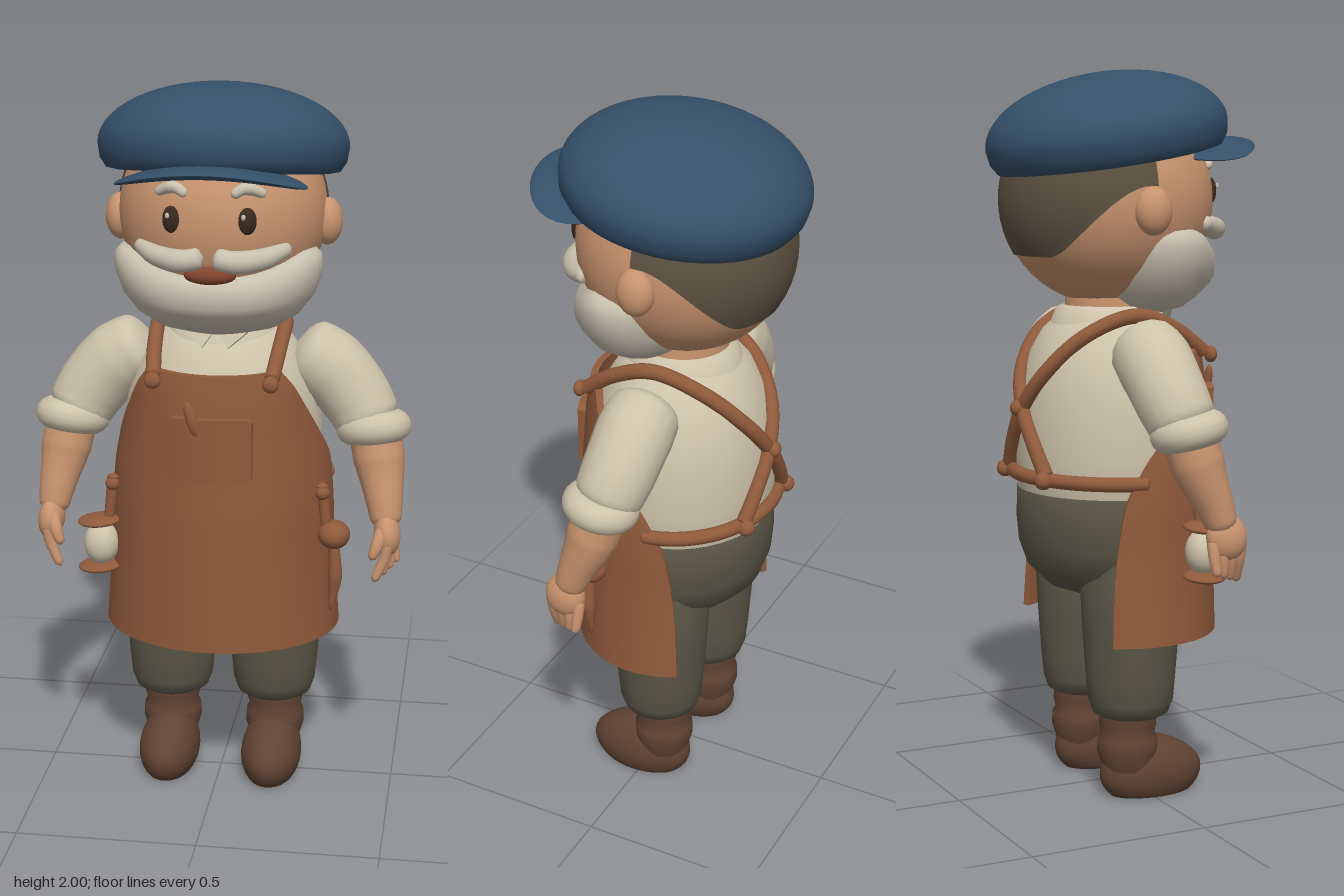
import * as THREE from 'three';
import { toCreasedNormals } from 'three/addons/utils/BufferGeometryUtils.js';
import { ParametricGeometry } from 'three/addons/geometries/ParametricGeometry.js';

const V = (x, y, z) => new THREE.Vector3(x, y, z);
const mat = (name, color, side = THREE.FrontSide) => {
  const m = new THREE.MeshStandardMaterial({ color, side });
  m.name = name;
  return m;
};

// Smooth normals that keep hard edges (scaled up so small parts are not merged)
const smooth = (g, crease = 0.9) => {
  g.scale(100, 100, 100);
  return toCreasedNormals(g, crease).scale(0.01, 0.01, 0.01);
};

// Move every vertex by a rule
function warp(g, rule) {
  const p = g.attributes.position, v = V(0, 0, 0);
  for (let i = 0; i < p.count; i++) {
    v.fromBufferAttribute(p, i);
    rule(v);
    p.setXYZ(i, v.x, v.y, v.z);
  }
  return g;
}

const ball = (rx, ry, rz, w = 28, h = 18) => new THREE.SphereGeometry(1, w, h).scale(rx, ry, rz);
const lathe = (pts, sx = 1, sz = 1) =>
  new THREE.LatheGeometry(pts.map(([r, y]) => new THREE.Vector2(r, y)), 48).scale(sx, 1, sz);

// Tube through points with varying radius; "cap" is the share of length used to round each end
function limb(points, radii, cap = 0.1, seg = 30, sides = 16) {
  const curve = new THREE.CatmullRomCurve3(points.map((p) => V(...p)));
  const g = new THREE.TubeGeometry(curve, seg, 1, sides), pos = g.attributes.position, v = V(0, 0, 0);
  for (let i = 0; i <= seg; i++) {
    const t = i / seg, c = curve.getPointAt(t), k = t * (radii.length - 1);
    const a = Math.min(Math.floor(k), radii.length - 2);
    const e = Math.min(1, Math.min(t, 1 - t) / cap);
    const r = THREE.MathUtils.lerp(radii[a], radii[a + 1], k - a) * Math.sqrt(Math.max(1e-4, 1 - (1 - e) ** 2));
    for (let j = 0; j <= sides; j++) {
      const n = i * (sides + 1) + j;
      v.fromBufferAttribute(pos, n).sub(c).multiplyScalar(r).add(c);
      pos.setXYZ(n, v.x, v.y, v.z);
    }
  }
  return g;
}

// Curved apron sheet with thickness: rows of [y, half width, depth, wrap angle in degrees]
function apronGeometry() {
  const rows = [[0.46, 0.335, 0.29, 117], [0.65, 0.322, 0.288, 115], [0.84, 0.314, 0.285, 109], [0.94, 0.305, 0.28, 97],
    [1.05, 0.285, 0.276, 77], [1.13, 0.272, 0.272, 65], [1.2, 0.262, 0.264, 55], [1.245, 0.25, 0.256, 47]];
  const shape = new THREE.CatmullRomCurve3(rows.map((r) => V(r[1], r[2], r[3])));
  const height = new THREE.CatmullRomCurve3(rows.map((r) => V(0, r[0], 0)));
  const n = 40, m = 36, pos = [], idx = [], ring = 2 * (n + 1);
  for (let j = 0; j <= m; j++) {
    const s = shape.getPoint(j / m), y = height.getPoint(j / m).y;
    for (let i = 0; i < ring; i++) {
      const inner = i > n, k = inner ? 2 * n + 1 - i : i, off = inner ? 0.02 : 0;
      const a = THREE.MathUtils.degToRad(s.z) * (2 * k / n - 1);
      pos.push((s.x - off) * Math.sin(a), y, -0.04 + (s.y - off) * Math.cos(a));
    }
  }
  const quad = (a, b, c, d) => idx.push(a, b, c, a, c, d);
  for (let j = 0; j < m; j++) for (let i = 0; i < ring; i++) {
    const i2 = (i + 1) % ring;
    quad(j * ring + i, j * ring + i2, (j + 1) * ring + i2, (j + 1) * ring + i);
  }
  for (let i = 0; i < n; i++) {
    const t = m * ring, q = ring - 1 - i;
    quad(i, q, q - 1, i + 1);
    quad(t + i, t + i + 1, t + q - 1, t + q);
  }
  const g = new THREE.BufferGeometry();
  g.setAttribute('position', new THREE.Float32BufferAttribute(pos, 3));
  g.setIndex(idx);
  return g;
}

export function createModel() {
  const model = new THREE.Group();
  model.name = 'craftsman';
  const blue = mat('hatBlue', 0x35506a), skin = mat('skin', 0xc9946f), hair = mat('hair', 0x5c5140, THREE.DoubleSide);
  const beard = mat('beardGrey', 0xc8c0ae), shirt = mat('shirtCream', 0xcec3ab, THREE.DoubleSide), leather = mat('leather', 0x905a3b);
  const cloth = mat('trouserOlive', 0x5a5646), boot = mat('bootBrown', 0x5f4333), dark = mat('eyeDark', 0x3b2a20), lip = mat('mouth', 0x84452f);
  const add = (name, g, m, x = 0, y = 0, z = 0, rx = 0, ry = 0, rz = 0) => {
    const mesh = new THREE.Mesh(smooth(g), m);
    mesh.name = name;
    mesh.position.set(x, y, z);
    mesh.rotation.set(rx, ry, rz);
    model.add(mesh);
    return mesh;
  };
  const sm = THREE.MathUtils.smoothstep;

  // Flat cap with visor
  const crown = [[0, -0.06], [0.84, -0.072], [0.93, -0.066], [0.98, -0.04]];
  for (let i = 0; i <= 14; i++) {
    const a = (i / 14) * Math.PI / 2;
    crown.push([Math.cos(a), 0.17 * Math.sin(a)]);
  }
  add('capCrown', lathe(crown, 0.342, 0.333), blue, 0, 1.826, -0.045, -0.16);
  add('capVisor', warp(ball(0.255, 0.02, 0.17, 40), (v) => { v.y += 0.1 * v.z - 0.6 * v.x * v.x; }), blue, 0, 1.797, 0.2);

  // Head, hair and ears
  const hc = [0, 1.65, -0.045], hr = [0.284, 0.29, 0.295];
  add('head', ball(...hr, 40, 28), skin, ...hc);
  add('hair', new ParametricGeometry((u, v, out) => {
    const a = (u - 0.5) * 3.24, t = Math.abs(a) / 1.62, k = 1.017;
    const low = 1.5 + 0.19 * sm(t, 0.3, 0.95);
    const c = THREE.MathUtils.lerp(low, 1.86, v) - hc[1], r = Math.sqrt(1 - (c / (hr[1] * k)) ** 2) * k;
    out.set(hr[0] * r * Math.sin(a), hc[1] + c, hc[2] - hr[2] * r * Math.cos(a));
  }, 48, 12), hair);
  add('neck', new THREE.CylinderGeometry(0.115, 0.125, 0.16, 32), skin, 0, 1.36, -0.04);

  // Beard, dropping at the front to leave the mouth free
  add('beard', warp(lathe([[0, -0.193], [0.3, -0.188], [0.58, -0.168], [0.78, -0.132], [0.92, -0.08], [0.985, -0.03], [1, 0.005],
    [0.985, 0.03], [0.93, 0.045], [0.82, 0.05], [0, 0.05]], 0.284, 0.196), (v) => {
    const f = sm(v.z, 0.03, 0.19);
    v.x *= 1 - 0.1 * f;
    v.y -= 0.065 * f * sm(v.y, -0.16, 0);
  }), beard, 0, 1.525, 0.055);
  add('mouth', ball(0.07, 0.03, 0.035), lip, 0, 1.525, 0.215);

  for (const s of [-1, 1]) {
    add('ear', ball(0.042, 0.065, 0.052), skin, s * 0.285, 1.625, -0.045);
    add('eye', ball(0.025, 0.036, 0.016), dark, s * 0.1, 1.672, 0.226, 0, s * 0.35);
    add('eyeGlint', ball(0.006, 0.008, 0.004, 10, 8), beard, s * 0.1 - 0.008, 1.685, 0.243);
    add('eyebrow', limb([[s * 0.058, 1.737, 0.228], [s * 0.095, 1.756, 0.216], [s * 0.145, 1.737, 0.193]], [0.012, 0.017, 0.012], 0.12), beard);
    add('moustache', limb([[s * 0.012, 1.578, 0.25], [s * 0.07, 1.568, 0.252], [s * 0.14, 1.572, 0.215], [s * 0.203, 1.59, 0.145]],
      [0.029, 0.031, 0.027, 0.019], 0.08), beard);
  }

  // Shirt and collar
  add('shirt', lathe([[0, 0.8], [0.235, 0.8], [0.25, 0.85], [0.256, 0.95], [0.253, 1.06], [0.24, 1.15], [0.216, 1.23],
    [0.178, 1.295], [0.14, 1.33], [0, 1.34]], 1.1, 1), shirt, 0, 0, -0.04);
  add('collar', lathe([[0.165, 1.3], [0.145, 1.352], [0.128, 1.362], [0.12, 1.33]]), shirt, 0, 0, -0.04);
  const flap = new THREE.Shape([[0.003, 0.02], [0.095, 0.025], [0.035, -0.03]].map((p) => new THREE.Vector2(...p)));
  for (const s of [0, Math.PI]) {
    const g = new THREE.ExtrudeGeometry(flap, { depth: 0.014, bevelEnabled: false }).translate(0, 0, -0.007).rotateY(s);
    add('collarFlap', g, shirt, 0, 1.328, 0.115, -0.4);
  }

  // Trousers
  add('trouserSeat', lathe([[0, 0.55], [0.1, 0.555], [0.17, 0.58], [0.225, 0.635], [0.248, 0.7], [0.254, 0.77], [0.252, 0.85], [0.24, 0.87], [0, 0.87]], 1.1, 1),
    cloth, 0, 0, -0.04);
  for (const s of [-1, 1]) {
    add('trouserLeg', lathe([[0, 0.23], [0.085, 0.23], [0.106, 0.242], [0.118, 0.275], [0.124, 0.34], [0.134, 0.48], [0.14, 0.6], [0.12, 0.72], [0, 0.75]]),
      cloth, s * 0.15, 0, -0.045);
    // Boots
    add('bootShaft', lathe([[0, 0.08], [0.07, 0.08], [0.085, 0.13], [0.083, 0.165], [0.074, 0.178], [0.08, 0.205], [0.076, 0.245], [0, 0.25]]),
      boot, s * 0.152, 0, -0.055);
    add('bootFoot', warp(new THREE.SphereGeometry(1, 32, 24), (v) => {
      v.y = Math.max(v.y, -0.62);
      v.set(v.x * 0.087, v.y > 0 ? v.y * (0.105 - 0.025 * v.z) : v.y * 0.1, v.z * 0.153);
    }), boot, s * 0.15, 0.062, 0.018);
  }

  // Apron with pocket
  add('apron', apronGeometry(), leather);
  add('apronPocket', warp(new THREE.BoxGeometry(0.23, 0.18, 0.03, 20, 4, 1), (v) => {
    const e = Math.max(0, Math.abs(v.x) - 0.09) / 0.025;
    v.y *= 1 - 0.12 * e * e;
    v.z -= 1.75 * v.x * v.x;
  }), leather, 0, 1.045, 0.241);
  add('pocketTool', ball(0.016, 0.05, 0.012), leather, -0.045, 1.135, 0.25, 0, 0, 0.3);

  // Straps crossing at the back, waist tie and buttons
  for (const s of [-1, 1]) {
    add('shoulderStrap', limb([[s * 0.16, 1.225, 0.185], [s * 0.172, 1.3, 0.08], [s * 0.175, 1.34, -0.04], [s * 0.145, 1.29, -0.175],
      [s * 0.08, 1.19, -0.265], [0, 1.085, -0.3], [-s * 0.07, 0.99, -0.298], [-s * 0.13, 0.9, -0.285]], [0.021, 0.021], 0.01, 60, 12), leather);
    add('strapButton', ball(0.023, 0.023, 0.016), leather, s * 0.16, 1.225, 0.197);
    add('tieButton', ball(0.024, 0.024, 0.024), leather, s * 0.13, 0.9, -0.298);
  }
  add('crossButton', ball(0.022, 0.022, 0.018), leather, 0, 1.085, -0.318);
  const tie = [];
  for (let i = 0; i <= 16; i++) {
    const a = Math.PI * (0.52 + 0.96 * i / 16);
    tie.push([0.298 * Math.sin(a), 0.9, -0.04 + 0.262 * Math.cos(a)]);
  }
  add('waistTie', limb(tie, [0.02, 0.02], 0.01, 60, 12), leather);

  // Arms and hands
  for (const s of [-1, 1]) {
    add('sleeve', limb([[s * 0.2, 1.275, -0.045], [s * 0.3, 1.215, -0.045], [s * 0.375, 1.13, -0.035], [s * 0.425, 1.04, -0.012]],
      [0.095, 0.105, 0.1, 0.09], 0.16), shirt);
    add('sleeveCuff', new THREE.TorusGeometry(0.06, 0.045, 16, 36).rotateX(Math.PI / 2), shirt, s * 0.425, 1.055, -0.012, -0.2, 0, s * 0.12);
    add('forearm', limb([[s * 0.425, 1.06, -0.02], [s * 0.447, 0.95, 0.01], [s * 0.463, 0.86, 0.045], [s * 0.472, 0.79, 0.068]],
      [0.072, 0.072, 0.055, 0.04], 0.08), skin);
    add('palm', ball(0.037, 0.062, 0.058), skin, s * 0.475, 0.775, 0.075, -0.2, 0, s * 0.1);
    for (let i = 0; i < 4; i++) {
      const k = i / 3, z = 0.03 + 0.085 * k;
      add('finger', limb([[s * 0.48, 0.77, z], [s * (0.492 - 0.02 * k), 0.72, z], [s * (0.5 - 0.058 * k), 0.675 - 0.03 * k, z + 0.005]],
        [0.017, 0.015, 0.012], 0.12, 14, 10), skin);
    }
    add('thumb', limb([[s * 0.465, 0.8, 0.1], [s * 0.45, 0.755, 0.128], [s * 0.435, 0.715, 0.135]], [0.02, 0.018, 0.012], 0.15, 14, 10), skin);
    // Hanging loops for the tools at the hips
    add('toolLoop', limb([[s * 0.293, 0.92, 0.085], [s * 0.3, 0.85, 0.085], [s * 0.31, 0.76, 0.085]], [0.017, 0.014], 0.08, 16, 10), leather);
    add('loopKnob', ball(0.02, 0.02, 0.02), leather, s * 0.295, 0.89, 0.09);
  }

  // Thread spool on one hip, awl on the other
  add('spoolThread', ball(0.05, 0.062, 0.05), shirt, -0.33, 0.71, 0.085);
  for (const y of [0.778, 0.642])
    add('spoolDisc', ball(0.062, 0.014, 0.058), leather, -0.335, y, 0.085, 0, 0, 0.08);
  add('awlHandle', ball(0.045, 0.04, 0.05), leather, 0.328, 0.768, 0.085);
  add('awlBlade', limb([[0.328, 0.75, 0.085], [0.333, 0.64, 0.085], [0.322, 0.54, 0.085]], [0.014, 0.02, 0.006], 0.1, 20, 12), leather);
  return model;
}
